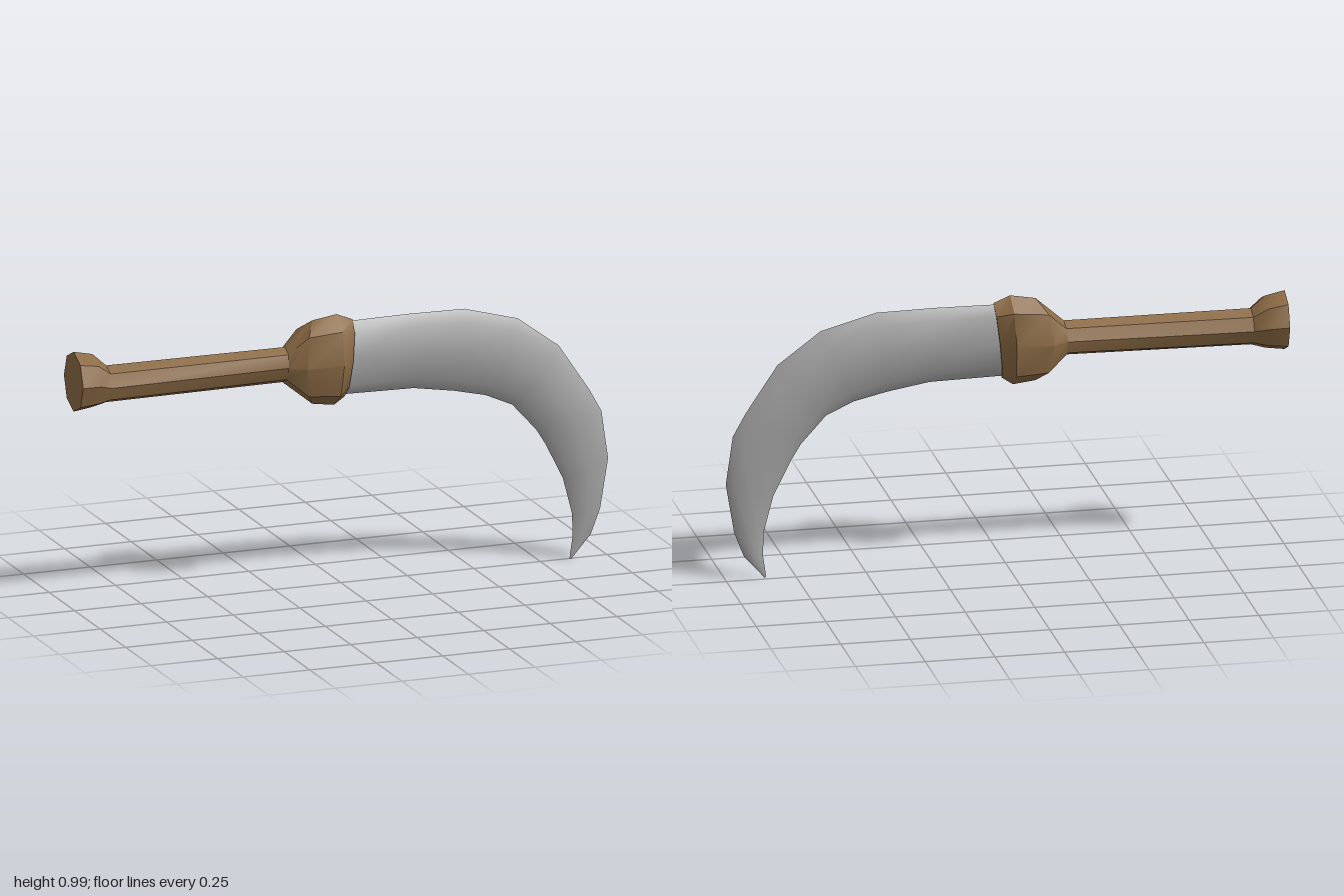
import * as THREE from 'three';
import { toCreasedNormals } from 'three/addons/utils/BufferGeometryUtils.js';

const SIDES = 8;

// Lofts eight-sided rings. Each section is
// [outerX, outerY, innerX, innerY, zCentre, zHalfWidth, sideShiftX].
function loft(sections, crease) {
  const pos = [];
  const index = [];
  for (const [ox, oy, ix, iy, zc, hz, shift = 0] of sections) {
    for (let j = 0; j < SIDES; j++) {
      const a = (j / SIDES) * Math.PI * 2;
      const t = (1 + Math.cos(a)) / 2;
      pos.push(
        ix + (ox - ix) * t + shift * Math.abs(Math.sin(a)),
        iy + (oy - iy) * t,
        zc + hz * Math.sin(a)
      );
    }
  }
  const last = (sections.length - 1) * SIDES;
  for (let s = 0; s < last; s += SIDES) {
    for (let j = 0; j < SIDES; j++) {
      const k = (j + 1) % SIDES;
      index.push(s + j, s + k, s + SIDES + j);
      index.push(s + k, s + SIDES + k, s + SIDES + j);
    }
  }
  // End caps
  for (let j = 1; j < SIDES - 1; j++) {
    index.push(0, j + 1, j, last, last + j, last + j + 1);
  }
  const geo = new THREE.BufferGeometry();
  geo.setAttribute('position', new THREE.Float32BufferAttribute(pos, 3));
  geo.setIndex(index);
  return toCreasedNormals(geo, crease);
}

export function createModel() {
  const wood = new THREE.MeshStandardMaterial({ color: 0x8c6b45 });
  wood.name = 'wood';
  const steel = new THREE.MeshStandardMaterial({ color: 0xa6a6a6 });
  steel.name = 'steel';

  const group = new THREE.Group();
  group.name = 'sickle';
  const add = (name, geo, mat) => {
    const mesh = new THREE.Mesh(geo, mat);
    mesh.name = name;
    group.add(mesh);
  };

  // Handle: flared pommel, slim grip and swollen collar
  add('handle', loft([
    [-1, 0.942, -1, 0.724, -0.01, 0.095],
    [-0.93, 0.927, -0.93, 0.734, -0.01, 0.091],
    [-0.88, 0.882, -0.88, 0.748, -0.004, 0.063],
    [-0.21, 0.882, -0.22, 0.755, 0.002, 0.053],
    [-0.11, 0.97, -0.11, 0.666, 0.007, 0.087, -0.05],
    [-0.02, 0.985, -0.03, 0.655, 0.011, 0.092],
    [0.04, 0.96, 0.01, 0.682, 0.012, 0.048],
  ], 0.6), wood);

  // Blade: hooked, with a sharp spine and cutting edge
  add('blade', loft([
    [0.02, 0.955, 0, 0.69, 0.01, 0.038],
    [0.25, 0.958, 0.27, 0.685, 0.01, 0.038],
    [0.46, 0.955, 0.42, 0.66, 0.01, 0.038],
    [0.66, 0.9, 0.54, 0.632, 0.011, 0.037],
    [0.815, 0.785, 0.64, 0.587, 0.011, 0.035],
    [0.93, 0.612, 0.73, 0.487, 0.012, 0.033],
    [0.975, 0.53, 0.765, 0.43, 0.012, 0.031],
    [1, 0.355, 0.83, 0.3, 0.012, 0.025],
    [0.97, 0.175, 0.865, 0.165, 0.012, 0.015],
    [0.935, 0.085, 0.866, 0.08, 0.012, 0.008],
    [0.86, 0, 0.855, 0.005, 0.012, 0.001],
  ], 0.7), steel);

  return group;
}
